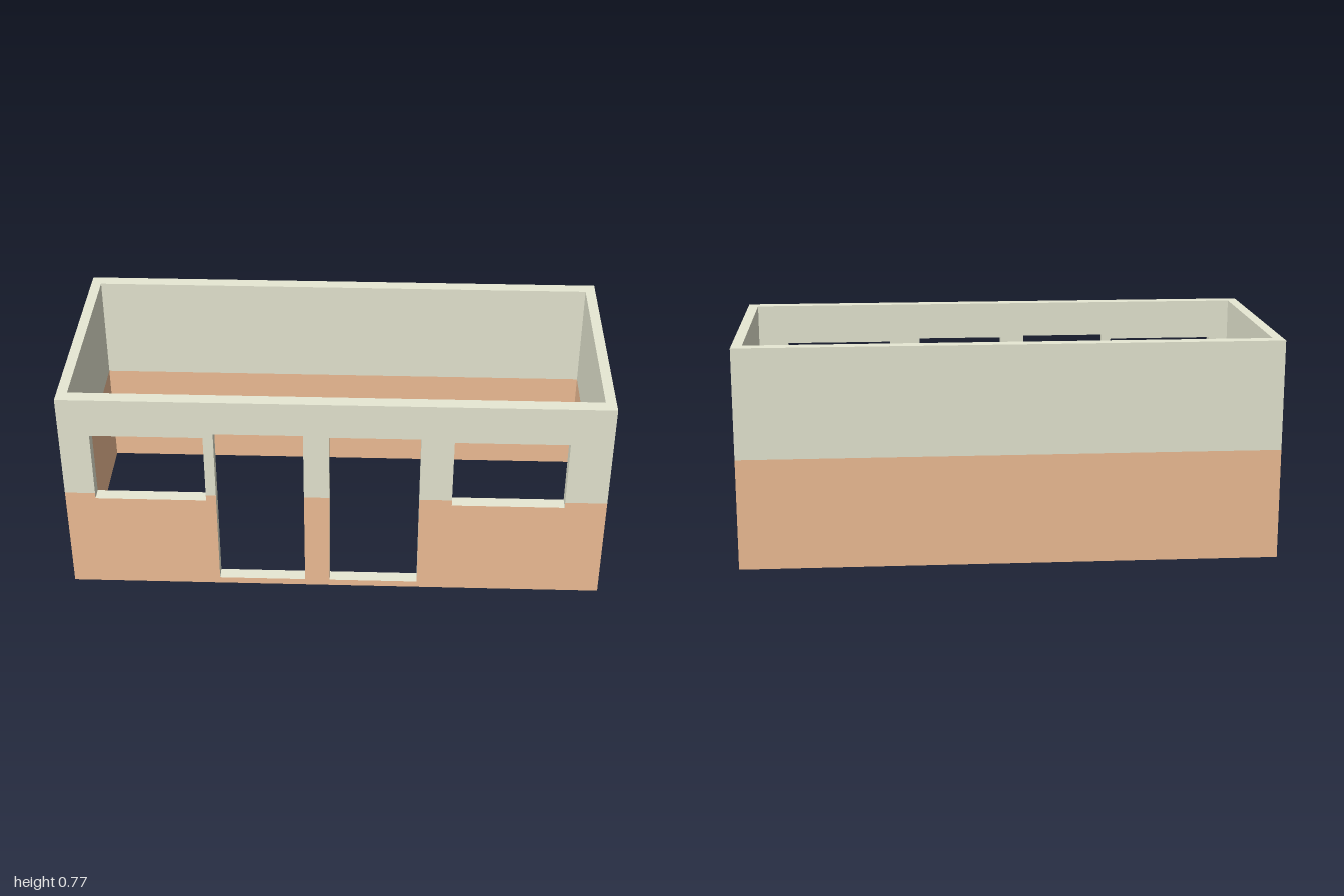
import * as THREE from 'three';

const LENGTH = 1.874, WIDTH = 0.834, HEIGHT = 0.775, SPLIT = 0.39;
const LONG_T = 0.047, SHORT_T = 0.036; // thickness of long and short walls
const TURN = -0.93;

// Openings in the front long wall: start, end, bottom, top (from the wall's centre)
const OPENINGS = [
  { name: 'window', a: -0.832, b: -0.447, y0: 0.368, y1: 0.632 },
  { name: 'door', a: -0.412, b: -0.107, y0: 0.024, y1: 0.648 },
  { name: 'door', a: -0.019, b: 0.292, y0: 0.024, y1: 0.643 },
  { name: 'window', a: 0.404, b: 0.793, y0: 0.368, y1: 0.632 },
];

const cream = new THREE.MeshStandardMaterial({ color: 0xe8e9d4 });
const clay = new THREE.MeshStandardMaterial({ color: 0xf2c097 });

function add(parent, name, geometry, material) {
  const mesh = new THREE.Mesh(geometry, material);
  mesh.name = name;
  parent.add(mesh);
  return mesh;
}

// Flat band of wall, notched along the colour line where openings cross it
function band(length, edgeY, openings, key) {
  const h = length / 2;
  const pts = [[-h, edgeY], [h, edgeY], [h, SPLIT]];
  for (const o of [...openings].reverse()) {
    pts.push([o.b, SPLIT], [o.b, o[key]], [o.a, o[key]], [o.a, SPLIT]);
  }
  pts.push([-h, SPLIT]);
  return new THREE.ShapeGeometry(new THREE.Shape(pts.map(([x, y]) => new THREE.Vector2(x, y))));
}

// One wall face: clay below, cream above
function skin(parent, name, length, openings) {
  const group = new THREE.Group();
  group.name = name;
  add(group, 'lowerBand', band(length, 0, openings, 'y0'), clay);
  add(group, 'upperBand', band(length, HEIGHT, openings, 'y1'), cream);
  parent.add(group);
  return group;
}

// Rectangular ring closing the walls at top or bottom
function rim() {
  const rect = (P, w, d) => new P([[-w, -d], [w, -d], [w, d], [-w, d]].map(([x, y]) => new THREE.Vector2(x, y)));
  const shape = rect(THREE.Shape, LENGTH / 2, WIDTH / 2);
  shape.holes.push(rect(THREE.Path, LENGTH / 2 - SHORT_T, WIDTH / 2 - LONG_T));
  return new THREE.ShapeGeometry(shape);
}

export function createModel() {
  const model = new THREE.Group();
  const house = new THREE.Group();
  house.name = 'house';
  house.rotation.y = TURN;
  model.add(house);

  // Four walls, each with an outer and an inner face
  ['frontWall', 'rightEndWall', 'backWall', 'leftEndWall'].forEach((name, k) => {
    const isLong = k % 2 === 0;
    const length = isLong ? LENGTH : WIDTH;
    const distance = (isLong ? WIDTH : LENGTH) / 2;
    const thickness = isLong ? LONG_T : SHORT_T;
    const inset = isLong ? SHORT_T : LONG_T;
    const openings = k === 0 ? OPENINGS : [];
    const wall = new THREE.Group();
    wall.name = name;
    wall.rotation.y = k * Math.PI / 2;
    house.add(wall);

    skin(wall, 'outerFace', length, openings).position.z = distance;
    const mirrored = openings.map(o => ({ ...o, a: -o.b, b: -o.a })).reverse();
    const inner = skin(wall, 'innerFace', length - 2 * inset, mirrored);
    inner.rotation.y = Math.PI;
    inner.position.z = distance - thickness;
  });

  // Reveals lining the doors and windows
  for (const { name, a, b, y0, y1 } of OPENINGS) {
    const reveal = new THREE.Group();
    reveal.name = name + 'Reveal';
    reveal.position.set((a + b) / 2, (y0 + y1) / 2, (WIDTH - LONG_T) / 2);
    house.add(reveal);
    const w = b - a, h = y1 - y0;
    for (const s of [-1, 1]) {
      const jamb = add(reveal, 'jamb', new THREE.PlaneGeometry(LONG_T, h), cream);
      jamb.position.x = s * w / 2;
      jamb.rotation.y = -s * Math.PI / 2;
      const flat = add(reveal, s < 0 ? 'sill' : 'lintel', new THREE.PlaneGeometry(w, LONG_T), cream);
      flat.position.y = s * h / 2;
      flat.rotation.x = s * Math.PI / 2;
    }
  }

  // Wall top and underside
  const top = add(house, 'wallTop', rim(), cream);
  top.rotation.x = -Math.PI / 2;
  top.position.y = HEIGHT;
  add(house, 'wallBase', rim(), clay).rotation.x = Math.PI / 2;

  return model;
}
